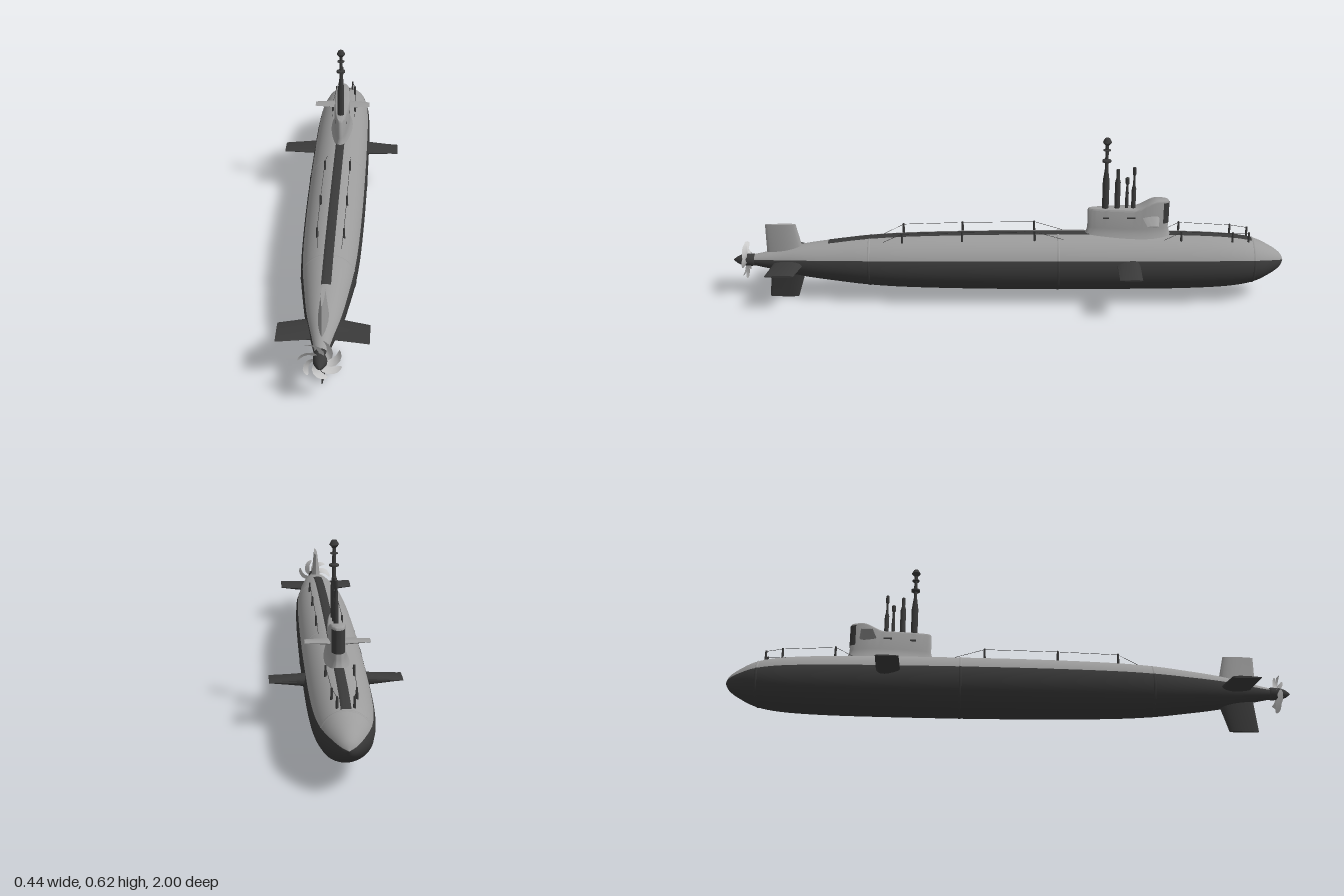
import * as THREE from 'three';
import { toCreasedNormals } from 'three/addons/utils/BufferGeometryUtils.js';

const AXIS = 0.147; // height of the hull centre line
const material = (color, side = THREE.FrontSide) =>
  new THREE.MeshStandardMaterial({ color, side });
const light = material(0x9c9c9c);
const dark = material(0x3a3a3a);
const metal = material(0xcccccc, THREE.DoubleSide);
const panel = material(0x3a3a3a, THREE.DoubleSide);

const v2 = (p) => new THREE.Vector2(p[0], p[1]);
const { lerp, smoothstep } = THREE.MathUtils;

// Hull half-profile [radius, z], bow to stern
const profile = new THREE.SplineCurve([
  [0, -1], [0.026, -0.986], [0.052, -0.95], [0.08, -0.89], [0.096, -0.8], [0.104, -0.65],
  [0.107, -0.45], [0.108, -0.18], [0.106, 0.1], [0.1, 0.35], [0.091, 0.5], [0.077, 0.62],
  [0.06, 0.74], [0.038, 0.84], [0.02, 0.925],
].map(v2)).getPoints(84);
profile[0].x = 0;

function hullRadius(z) {
  const i = Math.max(1, profile.findIndex((p) => p.y >= z));
  const a = profile[i - 1], b = profile[i];
  return lerp(a.x, b.x, (z - a.y) / (b.y - a.y));
}
const hullTop = (x, z) => AXIS + Math.sqrt(hullRadius(z) ** 2 - x * x);

function add(parent, name, geometry, mat) {
  const mesh = new THREE.Mesh(geometry, mat);
  mesh.name = name;
  parent.add(mesh);
  return mesh;
}

// Skin over rows of [x, y, z] points; closed rows wrap round, caps fill the ends
function loft(rows, closed = false, caps = false) {
  const n = rows[0].length, pos = rows.flat(2), index = [];
  for (let i = 0; i < rows.length - 1; i++) {
    for (let j = 0; j < (closed ? n : n - 1); j++) {
      const k = (j + 1) % n, a = i * n + j, b = i * n + k;
      index.push(a, b, b + n, a, b + n, a + n);
    }
  }
  if (caps) {
    const last = (rows.length - 1) * n;
    for (let j = 1; j < n - 1; j++) {
      index.push(0, j + 1, j, last, last + j, last + j + 1);
    }
  }
  const g = new THREE.BufferGeometry();
  g.setAttribute('position', new THREE.Float32BufferAttribute(pos, 3));
  g.setIndex(index);
  g.computeVertexNormals();
  return g;
}

// Tapered foil standing on the hull axis; sections are [span, zFront, zBack, halfThickness]
function fin(parent, name, sections, angle, mat, y = AXIS) {
  const rows = sections.map(([s, z0, z1, t]) => Array.from({ length: 20 }, (_, j) => {
    const a = (j / 20) * Math.PI * 2, c = Math.cos(a);
    return [t * Math.sin(a) * (0.85 - 0.4 * c), s, (z0 + z1) / 2 + ((z1 - z0) / 2) * c];
  }));
  const mesh = add(parent, name, toCreasedNormals(loft(rows, true, true), 0.6), mat);
  mesh.position.y = y;
  mesh.rotation.z = angle;
}

// Shapes turned about the hull axis
function turned(points, start = 0, length = Math.PI * 2, segments = 48) {
  return new THREE.LatheGeometry(points, segments, start, length)
    .rotateX(Math.PI / 2).translate(0, AXIS, 0);
}

// One point on the sail's plan outline; angle 0 is the trailing edge
function sailPoint(a, grow, y, widthScale = 1) {
  const c = Math.cos(a), s = Math.sin(a);
  const z = -0.43 + (0.145 + grow) * c;
  const w = lerp(0.02, 0.032, Math.min(1, (1 - c) * 0.65)) + grow;
  return [Math.sign(s) * Math.abs(s) ** 0.7 * w * widthScale, y(z), z];
}

function buildHull(group) {
  const line = 0.37; // angle of the paint line above the axis
  const upper = Math.PI - 2 * line;
  add(group, 'upperHull', turned(profile, Math.PI / 2 + line, upper), light);
  add(group, 'lowerHull', turned(profile, 1.5 * Math.PI - line, 2 * Math.PI - upper), dark);

  // Raised seams round the hull
  for (const z of [-0.885, -0.18, 0.5]) {
    const r = hullRadius(z);
    const band = [[r - 0.002, z - 0.006], [r + 0.0012, z - 0.003],
      [r + 0.0012, z + 0.003], [r - 0.002, z + 0.006]].map(v2);
    add(group, 'upperSeam', turned(band, Math.PI / 2 + line, upper), light);
    add(group, 'lowerSeam', turned(band, 1.5 * Math.PI - line, 2 * Math.PI - upper), dark);
  }

  // Dark walkway along the top
  const rows = Array.from({ length: 61 }, (_, i) => {
    const z = lerp(0.65, -0.88, i / 60);
    return [-0.016, -0.016, -0.006, 0.006, 0.016, 0.016].map((x, j) =>
      [x, hullTop(x, z) + (j % 5 ? 0.002 : -0.002), z]);
  });
  add(group, 'deckWalkway', loft(rows), panel);
}

function buildSail(group) {
  const sail = new THREE.Group();
  sail.name = 'sail';
  group.add(sail);
  const top = (z) => lerp(0.385, 0.352, smoothstep(z, -0.535, -0.45));
  const ring = (grow, y, w) => Array.from({ length: 64 }, (_, j) =>
    sailPoint((j / 64) * Math.PI * 2, grow, y, w));
  const rows = [
    ring(0.018, () => 0.235), ring(0.01, () => 0.25), ring(0.004, () => 0.263),
    ring(0, () => 0.28), ring(0, (z) => top(z) - 0.007), ring(-0.002, (z) => top(z) - 0.002),
    ring(-0.005, top), ring(-0.005, top, 0),
  ];
  add(sail, 'sailBody', toCreasedNormals(loft(rows, true), 0.7), light);

  // Dark panel wrapped round the leading edge
  const wrap = [0.298, 0.376].map((y) => Array.from({ length: 17 }, (_, j) =>
    sailPoint(Math.PI + lerp(-0.55, 0.55, j / 16), 0.0015, () => y)));
  add(sail, 'frontPanel', loft(wrap), panel);

  for (const [y, z, w] of [[0.319, -0.355, 0.044], [0.322, -0.44, 0.058]]) {
    add(sail, 'sideSlot', new THREE.BoxGeometry(w, 0.006, 0.03), dark).position.set(0, y, z);
  }
  for (const s of [-1, 1]) {
    fin(sail, s > 0 ? 'leftSailPlane' : 'rightSailPlane',
      [[0, -0.54, -0.48, 0.008], [0.03, -0.54, -0.48, 0.007], [0.106, -0.53, -0.49, 0.003]],
      -s * Math.PI / 2, light, 0.322);
  }

  // Masts: z and profile of [radius, y]
  const masts = {
    mainMast: [-0.348, [[0.012, 0.34], [0.012, 0.455], [0.006, 0.5], [0.006, 0.524], [0.016, 0.527],
      [0.016, 0.533], [0.006, 0.537], [0.006, 0.568], [0.013, 0.569], [0.013, 0.572], [0.006, 0.573],
      [0.006, 0.588], [0.016, 0.6], [0.009, 0.614], [0, 0.615]]],
    secondMast: [-0.39, [[0.01, 0.34], [0.01, 0.45], [0.006, 0.465], [0.006, 0.498], [0, 0.5]]],
    thinMast: [-0.424, [[0.006, 0.34], [0.006, 0.41], [0.004, 0.42], [0.004, 0.44],
      [0.007, 0.445], [0.007, 0.465], [0, 0.47]]],
    periscope: [-0.448, [[0.008, 0.34], [0.008, 0.425], [0.004, 0.44], [0.004, 0.475],
      [0.006, 0.48], [0.006, 0.505], [0, 0.508]]],
  };
  for (const [name, [z, pts]] of Object.entries(masts)) {
    const g = toCreasedNormals(new THREE.LatheGeometry(pts.map(v2), 16), 0.5);
    add(sail, name, g, dark).position.z = z;
  }
}

function buildRails(group) {
  const runs = [
    [[0.45, 0.04, 0], [0.38, 0.045, 1], [0.165, 0.046, 1], [-0.095, 0.046, 1], [-0.2, 0.044, 0]],
    [[-0.56, 0.044, 0], [-0.62, 0.045, 1], [-0.805, 0.038, 1], [-0.865, 0.026, 1]],
  ];
  for (const s of [-1, 1]) {
    for (const run of runs) {
      const wire = new THREE.CurvePath();
      const tips = run.map(([z, x, post]) => {
        const y = hullTop(x, z);
        if (post) {
          const g = new THREE.CylinderGeometry(0.0035, 0.0045, 0.046, 8);
          add(group, 'railPost', g, dark).position.set(s * x, y + 0.013, z);
        }
        return new THREE.Vector3(s * x, y + (post ? 0.033 : 0), z);
      });
      tips.slice(1).forEach((p, i) => wire.add(new THREE.LineCurve3(tips[i], p)));
      add(group, 'railWire', new THREE.TubeGeometry(wire, 60, 0.0008, 5), dark);
    }
  }
}

function buildPropeller(group) {
  const hub = [[0, 0.915], [0.02, 0.918], [0.023, 0.93], [0.021, 0.965], [0.012, 0.985], [0, 1]];
  add(group, 'propellerHub', turned(hub.map(v2), 0, Math.PI * 2, 24), dark);

  // Swept, twisted blades: sections of [radius, sweep, halfChord]
  const sections = [[0.015, -0.1, 0.006], [0.027, 0, 0.009], [0.038, 0.16, 0.012],
    [0.05, 0.4, 0.013], [0.06, 0.62, 0.012], [0.066, 0.76, 0.009], [0.069, 0.84, 0.003]];
  for (let i = 0; i < 7; i++) {
    const rows = sections.map(([r, sweep, c]) => [-1, -0.5, 0, 0.5, 1].map((u) => {
      const a = sweep + (u * c) / r;
      return [r * Math.cos(a), r * Math.sin(a), -u * c * 0.6];
    }));
    const blade = add(group, 'propellerBlade', loft(rows), metal);
    blade.position.set(0, AXIS, 0.952);
    blade.rotation.z = -0.35 + (i * Math.PI * 2) / 7;
  }
}

export function createModel() {
  const group = new THREE.Group();
  group.name = 'submarine';
  buildHull(group);
  buildSail(group);
  buildRails(group);
  buildPropeller(group);

  // Tail fins and hull planes
  fin(group, 'upperRudder', [[0, 0.735, 0.875, 0.024], [0.05, 0.745, 0.875, 0.018],
    [0.14, 0.765, 0.875, 0.007]], 0, light);
  fin(group, 'lowerRudder', [[0, 0.73, 0.86, 0.024], [0.05, 0.74, 0.865, 0.018],
    [0.147, 0.77, 0.875, 0.007]], Math.PI, dark);
  for (const s of [-1, 1]) {
    const side = s > 0 ? 'left' : 'right', turn = -s * Math.PI / 2;
    fin(group, side + 'SternPlane', [[0, 0.735, 0.845, 0.02], [0.05, 0.74, 0.85, 0.015],
      [0.145, 0.762, 0.865, 0.005]], turn, dark);
    fin(group, side + 'HullPlane', [[0.08, -0.472, -0.388, 0.024], [0.22, -0.47, -0.39, 0.003]],
      turn, dark, 0.168);
  }
  return group;
}
